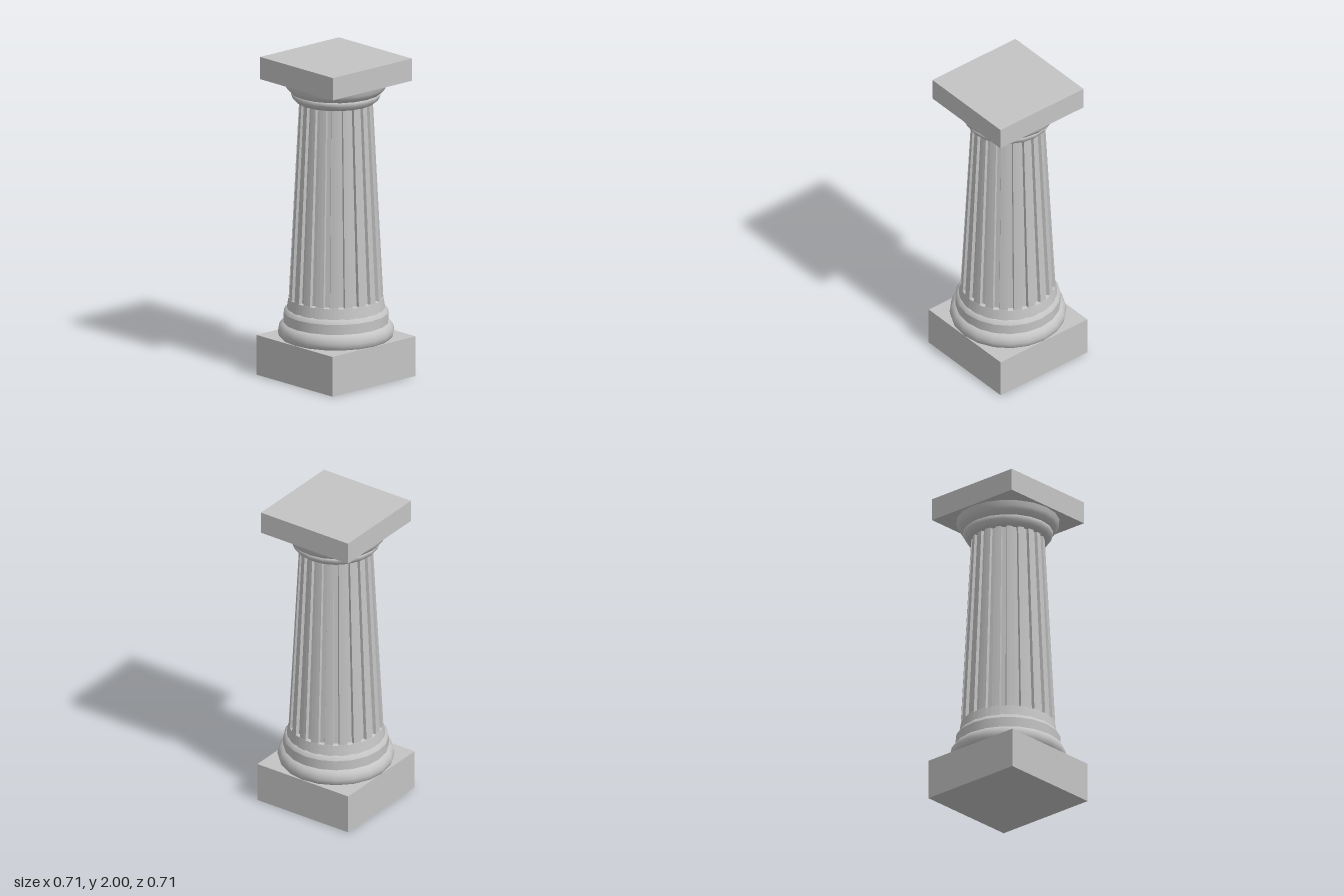
import * as THREE from 'three';

export function createModel() {
  const group = new THREE.Group();
  group.name = 'column';
  const stone = new THREE.MeshStandardMaterial({ color: 0xc4c4c4 });
  stone.name = 'stone grey';

  const add = (name, geometry, y = 0) => {
    const mesh = new THREE.Mesh(geometry, stone);
    mesh.name = name;
    mesh.position.y = y;
    group.add(mesh);
  };
  // Turned moulding from [radius, height] pairs, listed bottom to top
  const turned = (name, points) =>
    add(name, new THREE.LatheGeometry(points.map(p => new THREE.Vector2(...p)), 20));

  // Square blocks at the foot and the head
  add('plinth', new THREE.BoxGeometry(0.687, 0.25, 0.68), 0.125);
  add('abacus', new THREE.BoxGeometry(0.652, 0.14, 0.652), 1.93);

  // Base mouldings
  turned('baseTorus', [[0.29, 0.24], [0.335, 0.245], [0.349, 0.262], [0.355, 0.288],
    [0.349, 0.315], [0.335, 0.335], [0.318, 0.344]]);
  turned('baseBand', [[0.32, 0.335], [0.32, 0.405]]);
  turned('baseBevel', [[0.32, 0.405], [0.312, 0.42], [0.298, 0.434], [0.27, 0.436]]);

  // Capital mouldings
  turned('capitalRing', [[0.21, 1.728], [0.24, 1.73], [0.256, 1.742], [0.268, 1.76],
    [0.275, 1.782], [0.26, 1.788]]);
  turned('capitalEchinus', [[0.26, 1.785], [0.276, 1.79], [0.296, 1.81], [0.308, 1.83],
    [0.315, 1.862]]);

  // Tapered shaft with 20 flutes; each level is [height, radius, flute depth]
  const flutes = 20;
  const levels = [[0.42, 0.3, 0], [0.495, 0.288, 0], [0.5, 0.287, 0.02], [1.745, 0.223, 0.018]];
  // Corners within one flute: [fraction of the pitch, share of the depth]
  const corners = [[-0.5, 0], [-0.23, 0], [-0.17, 1], [0.17, 1], [0.23, 0]];
  const count = flutes * corners.length;
  const positions = [], index = [];
  levels.forEach(([y, radius, depth], level) => {
    for (let i = 0; i < count; i++) {
      const [offset, share] = corners[i % corners.length];
      const angle = (Math.floor(i / corners.length) + offset) * Math.PI * 2 / flutes;
      const r = radius - depth * share;
      positions.push(Math.sin(angle) * r, y, Math.cos(angle) * r);
      if (level === 0) continue;
      const next = (i + 1) % count;
      const a = (level - 1) * count + i, b = (level - 1) * count + next;
      const c = level * count + next, d = level * count + i;
      index.push(a, b, c, a, c, d);
    }
  });
  const indexed = new THREE.BufferGeometry();
  indexed.setAttribute('position', new THREE.Float32BufferAttribute(positions, 3));
  indexed.setIndex(index);
  const shaft = indexed.toNonIndexed();
  shaft.computeVertexNormals();
  add('flutedShaft', shaft);

  return group;
}
